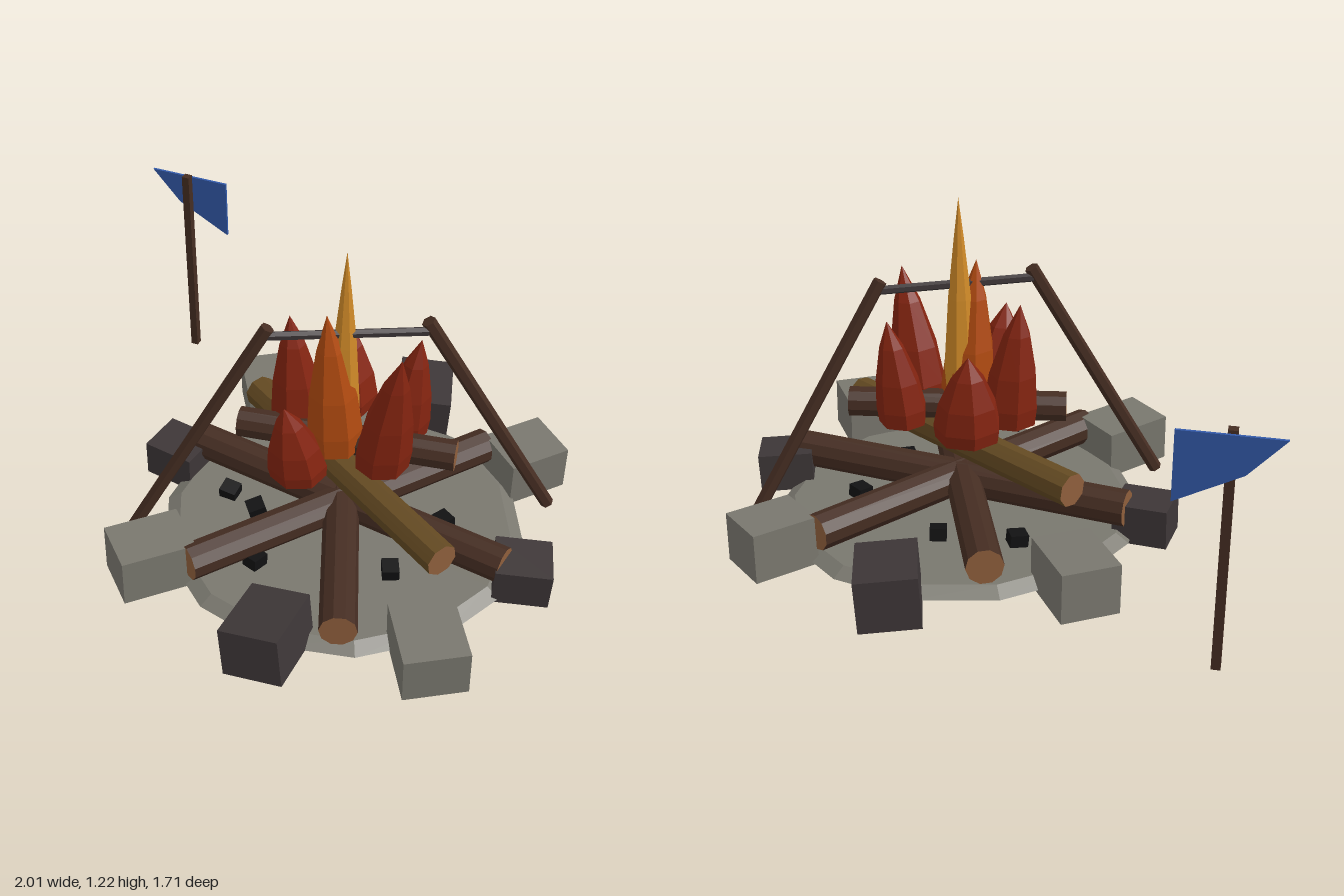
import * as THREE from 'three';

const paint = (name, color) => {
  const m = new THREE.MeshStandardMaterial({ color, flatShading: true });
  m.name = name;
  return m;
};

export function createModel() {
  const mats = {
    paleStone: paint('pale stone', 0x79776e),
    darkStone: paint('dark stone', 0x3d3637),
    bark: paint('bark', 0x452d22),
    amberBark: paint('amber bark', 0x644a22),
    cutWood: paint('cut wood', 0x8f5f3c),
    coal: paint('coal', 0x111112),
    red: paint('red flame', 0x842410),
    orange: paint('orange flame', 0xb04a10),
    yellow: paint('yellow flame', 0xd08a28),
    blue: paint('blue cloth', 0x3259a8),
  };
  const model = new THREE.Group();
  model.name = 'campfire';

  const add = (name, geometry, material, parent = model) => {
    const mesh = new THREE.Mesh(geometry, material);
    mesh.name = name;
    parent.add(mesh);
    return mesh;
  };
  const group = (name) => {
    const g = new THREE.Group();
    g.name = name;
    model.add(g);
    return g;
  };

  // Round bar running between two points
  const bar = (name, from, to, radius, sides, material, parent, groove = 0) => {
    const a = new THREE.Vector3(...from), b = new THREE.Vector3(...to);
    const geo = new THREE.CylinderGeometry(radius, radius, a.distanceTo(b), sides);
    if (groove) {
      // Pull in every second ridge of the bark
      const p = geo.attributes.position;
      for (let i = 0; i < p.count; i++) {
        const step = Math.round(Math.atan2(p.getX(i), p.getZ(i)) / (Math.PI * 2 / sides));
        const k = step % 2 ? 1 - groove : 1;
        p.setXYZ(i, p.getX(i) * k, p.getY(i), p.getZ(i) * k);
      }
    }
    const mesh = add(name, geo, material, parent);
    mesh.position.copy(a).add(b).multiplyScalar(0.5);
    mesh.quaternion.setFromUnitVectors(new THREE.Vector3(0, 1, 0), b.sub(a).normalize());
    return mesh;
  };

  // Ash bed
  add('ashBed', new THREE.CylinderGeometry(0.62, 0.67, 0.03, 14), mats.paleStone)
    .position.set(0.18, 0.055, 0.02);

  // Ring of stones: x, y, z, width, height, length, yaw, tilt x, tilt z
  const stones = group('stoneRing');
  [
    [-0.345, 0.115, -0.49, 0.21, 0.18, 0.27, 0.58, 0.03, 0.02],
    [0.24, 0.12, -0.695, 0.21, 0.185, 0.27, 0.29, 0.04, -0.06],
    [0.72, 0.115, -0.495, 0.21, 0.18, 0.24, -0.72, 0.02, -0.03],
    [0.88, 0.1, 0.07, 0.18, 0.145, 0.2, 1.87, 0.04, 0.04],
    [0.7, 0.12, 0.55, 0.225, 0.18, 0.26, 0.56, 0.02, 0.02],
    [0.185, 0.12, 0.71, 0.215, 0.18, 0.27, 0, -0.12, 0.14],
    [-0.345, 0.12, 0.54, 0.21, 0.18, 0.27, -0.75, -0.03, 0.02],
    [-0.515, 0.095, -0.02, 0.175, 0.145, 0.2, 1.44, 0.03, 0.02],
  ].forEach(([x, y, z, w, h, l, yaw, rx, rz], i) => {
    const stone = add('stone', new THREE.BoxGeometry(w, h, l), i % 2 ? mats.darkStone : mats.paleStone, stones);
    stone.position.set(x, y, z);
    stone.rotation.set(rx, yaw, rz, 'YXZ');
  });

  // Coals
  const coals = group('coals');
  [[-0.1, -0.27], [0.18, -0.295], [-0.25, 0.09], [-0.01, 0.385], [0.54, -0.07], [-0.12, 0.14], [0.45, 0.24]]
    .forEach(([x, z], i) => {
      const coal = add('coal', new THREE.BoxGeometry(0.065, 0.045, 0.06), mats.coal, coals);
      coal.position.set(x, 0.095, z);
      coal.rotation.set(0.1 * (i % 3), i * 1.3 + 0.5, 0.1);
    });

  // Stacked logs with cut ends
  const logs = group('logs');
  const barkSet = [mats.bark, mats.cutWood, mats.cutWood];
  const amberSet = [mats.amberBark, mats.cutWood, mats.cutWood];
  bar('bottomLog', [-0.455, 0.15, -0.075], [0.825, 0.15, 0.115], 0.066, 10, barkSet, logs);
  bar('bottomLog', [-0.055, 0.15, -0.565], [0.41, 0.15, 0.63], 0.066, 10, barkSet, logs);
  bar('bottomLog', [0.565, 0.15, -0.48], [-0.195, 0.15, 0.545], 0.066, 10, barkSet, logs);
  bar('middleLog', [-0.29, 0.305, -0.265], [0.66, 0.305, 0.33], 0.061, 16, amberSet, logs, 0.07);
  bar('topLog', [-0.2, 0.447, 0.09], [0.575, 0.447, -0.04], 0.056, 10, barkSet, logs);

  // Faceted flames that lean towards their tips
  const flames = group('flames');
  const flame = (name, material, [x, y, z], radius, [tx, ty, tz], sides = 7) => {
    const height = ty - y;
    const outline = [[0, 0], [0.95, 0], [1, 0.15], [0.86, 0.42], [0.48, 0.75], [0, 1]];
    const geo = new THREE.LatheGeometry(outline.map(([r, t]) => new THREE.Vector2(r * radius, t * height)), sides);
    const p = geo.attributes.position;
    for (let i = 0; i < p.count; i++) {
      const t = (p.getY(i) / height) ** 1.3;
      p.setX(i, p.getX(i) + (tx - x) * t);
      p.setZ(i, p.getZ(i) + (tz - z) * t);
    }
    geo.computeVertexNormals();
    add(name, geo, material, flames).position.set(x, y, z);
  };
  flame('redFlame', mats.red, [0.095, 0.43, -0.19], 0.12, [0.08, 0.75, -0.235]);
  flame('redFlame', mats.red, [-0.02, 0.43, -0.03], 0.1, [-0.055, 0.875, -0.03]);
  flame('redFlame', mats.red, [0.35, 0.43, -0.12], 0.09, [0.39, 0.82, -0.15]);
  flame('redFlame', mats.red, [0.345, 0.43, 0.085], 0.1, [0.415, 0.925, 0.125]);
  flame('redFlame', mats.red, [0.095, 0.43, 0.24], 0.105, [0.07, 0.745, 0.3]);
  flame('orangeFlame', mats.orange, [0.155, 0.43, 0.05], 0.1, [0.125, 0.99, 0.07]);

  // Tall slim core flame
  const core = [[0, 0], [0.055, 0], [0.06, 0.15], [0.042, 0.42], [0.018, 0.64], [0, 0.785]];
  add('coreFlame', new THREE.LatheGeometry(core.map(([r, y]) => new THREE.Vector2(r, y)), 8), mats.yellow, flames)
    .position.set(0.175, 0.44, 0.025);

  // Cooking frame: two leaning poles and a crossbar
  const frame = group('cookingFrame');
  bar('framePole', [-0.5, 0.08, 0.385], [-0.053, 0.945, 0.155], 0.025, 6, mats.bark, frame);
  bar('framePole', [0.86, 0.08, -0.335], [0.425, 0.945, -0.095], 0.025, 6, mats.bark, frame);
  bar('crossbar', [-0.06, 0.908, 0.155], [0.43, 0.908, -0.09], 0.016, 6, mats.darkStone, frame);

  // Flag on its post
  const flag = group('flag');
  add('flagPost', new THREE.BoxGeometry(0.03, 0.825, 0.03), mats.bark, flag).position.set(-0.84, 0.443, -0.778);
  const cloth = new THREE.Shape([[-1, 0.845], [-0.885, 0.72], [-0.675, 0.61], [-0.675, 0.845]]
    .map(([x, y]) => new THREE.Vector2(x, y)));
  add('flagCloth', new THREE.ExtrudeGeometry(cloth, { depth: 0.01, bevelEnabled: false }), mats.blue, flag)
    .position.z = -0.803;

  return model;
}
